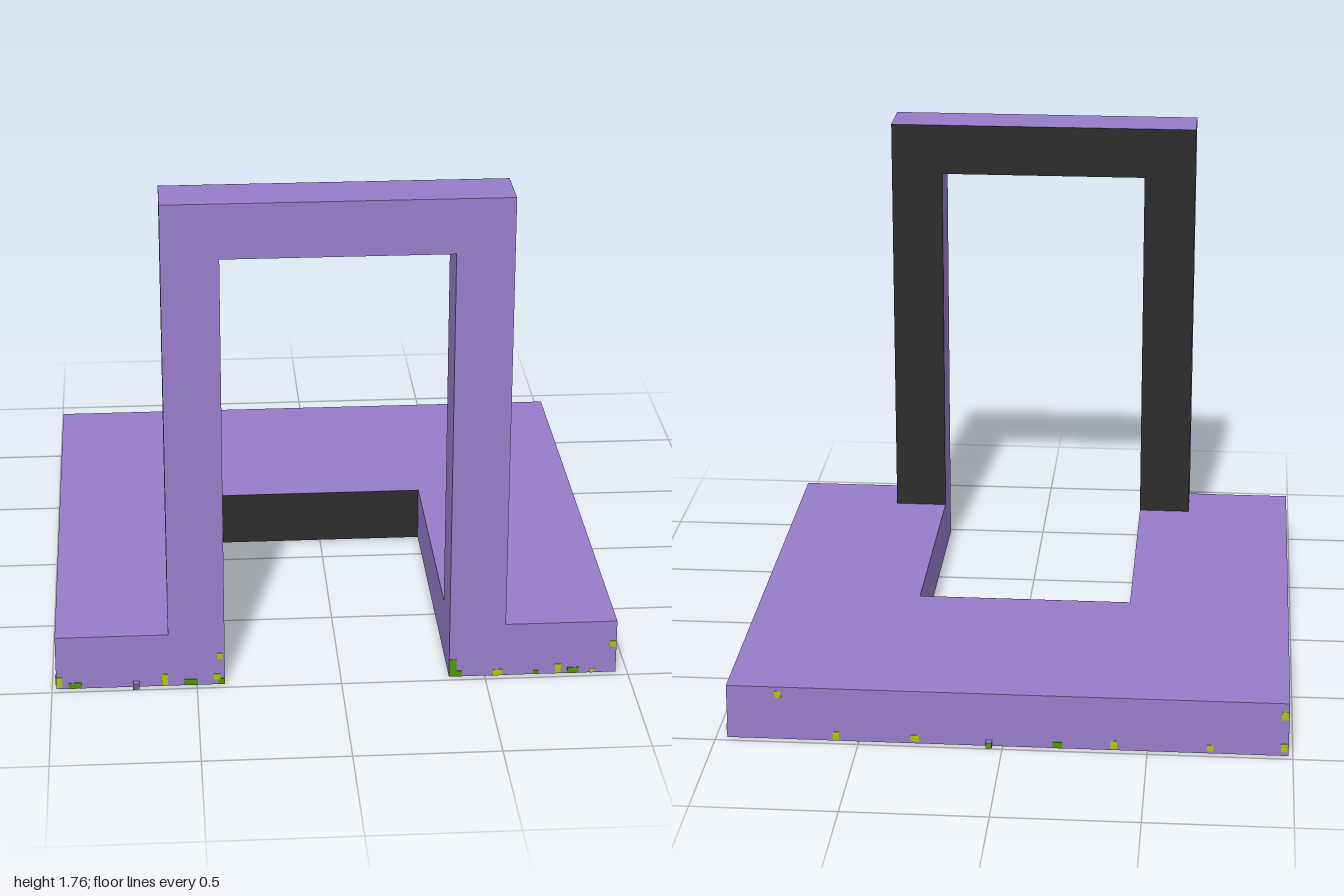
import * as THREE from 'three';

const mat = (name, color) => {
  const m = new THREE.MeshStandardMaterial({ color });
  m.name = name;
  return m;
};

export function createModel() {
  const purple = mat('purple', 0x967dca);
  const dark = mat('charcoal', 0x2d2d2d);
  const lime = mat('lime', 0xb2c800);
  const green = mat('green', 0x529600);
  const grey = mat('mauveGrey', 0x6e6480);

  const model = new THREE.Group();
  const add = (name, geometry, material, parent = model) => {
    const mesh = new THREE.Mesh(geometry, material);
    mesh.name = name;
    parent.add(mesh);
    return mesh;
  };
  const box = (name, w, h, d, x, y, z, material, parent) =>
    add(name, new THREE.BoxGeometry(w, h, d), material, parent).position.set(x, y, z);
  const extrude = (points, depth) => new THREE.ExtrudeGeometry(
    new THREE.Shape(points.map(([x, y]) => new THREE.Vector2(x, y))),
    { depth, bevelEnabled: false });

  // Main measures
  const L = -0.985, R = 0.96, F = 0.975, B = -0.975, H = 0.197;
  const inL = -0.403, inR = 0.376, slotZ = -0.15;
  const outL = -0.597, outR = 0.571, top = 1.757, inTop = 1.565, archZ = 0.78;

  // U-shaped base, slot open at the front
  const base = extrude([
    [L, -F], [inL, -F], [inL, -slotZ], [inR, -slotZ],
    [inR, -F], [R, -F], [R, -B], [L, -B],
  ], H);
  base.rotateX(-Math.PI / 2);
  add('base', base, purple);

  // Upright arch over the slot opening
  const archPoints = [
    [outL, H], [inL, H], [inL, inTop], [inR, inTop],
    [inR, H], [outR, H], [outR, top], [outL, top],
  ];
  const arch = extrude(archPoints, F - archZ);
  arch.translate(0, 0, archZ);
  add('arch', arch, purple);

  // Charcoal faces: back of the arch and end wall of the slot
  const archBack = extrude(archPoints, 0.002);
  archBack.translate(0, 0, archZ - 0.002);
  add('archBackFace', archBack, dark);
  box('slotEndFace', inR - inL, H, 0.002, (inL + inR) / 2, H / 2, slotZ + 0.001, dark);

  // Small spot on the inner side of one upright
  box('innerSpot', 0.004, 0.024, 0.02, inL + 0.002, 0.52, 0.89, dark);

  // Thin specks round the lower edge: [along, centre height, width, height, material]
  const specks = new THREE.Group();
  specks.name = 'edgeSpecks';
  model.add(specks);
  const t = 0.003;
  const alongX = (name, z, list) => list.forEach(([x, y, w, h, m]) =>
    box(name, w, h, t, x, y, z, m, specks));
  const alongZ = (name, x, list) => list.forEach(([z, y, w, h, m]) =>
    box(name, t, h, w, x, y, z, m, specks));

  alongX('frontSpeck', F + t / 2, [
    [-0.975, 0.025, 0.02, 0.04, lime], [-0.92, 0.012, 0.045, 0.022, green],
    [-0.61, 0.025, 0.02, 0.04, lime], [-0.52, 0.012, 0.045, 0.022, green],
    [-0.42, 0.11, 0.02, 0.022, lime], [-0.43, 0.03, 0.022, 0.022, lime],
    [-0.415, 0.012, 0.024, 0.022, green], [0.389, 0.035, 0.024, 0.065, green],
    [0.41, 0.012, 0.022, 0.022, green], [0.545, 0.012, 0.035, 0.022, lime],
    [0.68, 0.008, 0.02, 0.014, green], [0.757, 0.02, 0.02, 0.036, lime],
    [0.81, 0.012, 0.04, 0.022, green], [0.877, 0.008, 0.018, 0.014, lime],
    [0.948, 0.11, 0.022, 0.022, lime],
  ]);
  alongZ('leftSpeck', R + t / 2, [
    [0.92, 0.012, 0.02, 0.02, lime], [0.797, 0.026, 0.02, 0.042, lime],
    [0.66, 0.012, 0.042, 0.022, green], [0.187, 0.012, 0.02, 0.022, green],
    [0.016, 0.026, 0.02, 0.042, lime], [-0.1, 0.012, 0.042, 0.022, green],
    [-0.375, 0.026, 0.02, 0.042, lime], [-0.535, 0.012, 0.042, 0.022, green],
    [-0.715, 0.012, 0.02, 0.022, green], [-0.957, 0.026, 0.03, 0.042, green],
  ]);
  alongX('backSpeck', B - t / 2, [
    [0.78, 0.17, 0.022, 0.022, lime], [0.58, 0.02, 0.022, 0.03, lime],
    [0.305, 0.02, 0.03, 0.022, lime], [-0.19, 0.012, 0.035, 0.022, green],
    [-0.385, 0.02, 0.022, 0.03, lime], [-0.716, 0.02, 0.022, 0.022, lime],
    [-0.97, 0.15, 0.022, 0.03, lime], [-0.97, 0.03, 0.022, 0.03, lime],
  ]);
  alongZ('rightSpeck', L - t / 2, [
    [-0.84, 0.02, 0.022, 0.03, lime], [-0.5, 0.012, 0.035, 0.022, green],
    [-0.22, 0.02, 0.022, 0.03, lime], [0.1, 0.012, 0.035, 0.022, green],
    [0.58, 0.02, 0.022, 0.03, lime], [0.96, 0.03, 0.022, 0.03, lime],
  ]);

  // Three tiny cubes on the lower edge, faces in order +x -x +y -y +z -z
  const s = 0.022;
  const c = s / 2;
  box('frontCube', s, s, s, -0.71, c, F + c, [green, green, purple, purple, grey, grey]);
  box('leftCube', s, s, s, R + c, c, 0.45, [lime, lime, purple, purple, green, green]);
  box('backCube', s, s, s, 0.047, c, B - c, [lime, lime, purple, purple, green, green]);

  return model;
}
